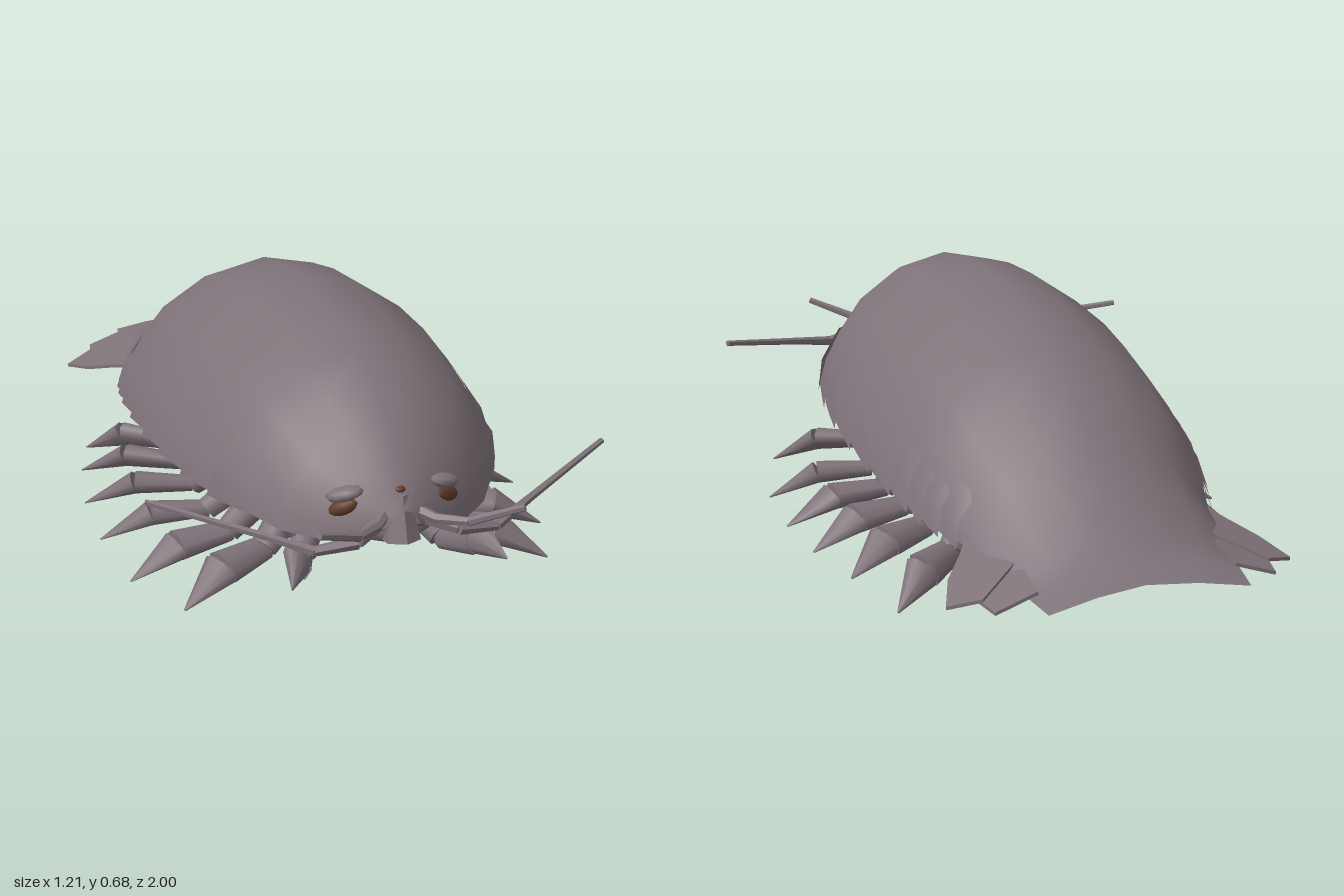
import * as THREE from 'three';

const mat = (name, color, flatShading = false) =>
  Object.assign(new THREE.MeshStandardMaterial({ color, flatShading, side: THREE.DoubleSide }), { name });
const V = (x, y, z) => new THREE.Vector3(x, y, z);

// Shell stations from head to tail: z, ridge height, half width, edge height, brown share of the underside
const STATIONS = [
  [0.86, 0.37, 0.04, 0.33, 0], [0.82, 0.425, 0.13, 0.3, 0], [0.77, 0.485, 0.2, 0.285, 0], [0.7, 0.545, 0.27, 0.285, 0],
  [0.6, 0.61, 0.33, 0.3, 0], [0.5, 0.652, 0.375, 0.305, 0.3], [0.35, 0.68, 0.405, 0.3, 0.4], [0.2, 0.69, 0.425, 0.295, 0.4],
  [0, 0.68, 0.43, 0.28, 0.4], [-0.15, 0.655, 0.425, 0.265, 0.45], [-0.32, 0.61, 0.41, 0.245, 0.75],
  [-0.45, 0.55, 0.385, 0.225, 0.78], [-0.6, 0.45, 0.335, 0.205, 0.78], [-0.72, 0.36, 0.325, 0.192, 0.78],
  [-0.84, 0.272, 0.295, 0.18, 0.7], [-0.9, 0.235, 0.28, 0.173, 0], [-0.965, 0.2, 0.265, 0.165, 0],
];
// Half cross-section from edge to ridge, as fractions of width and height
const PROFILE = [[1, 0], [0.95, 0.2], [0.84, 0.42], [0.67, 0.67], [0.35, 0.91], [0, 1]];

function station(z) {
  let i = 0;
  while (i < STATIONS.length - 2 && STATIONS[i + 1][0] > z) i++;
  const a = STATIONS[i], b = STATIONS[i + 1];
  const t = THREE.MathUtils.clamp((a[0] - z) / (a[0] - b[0]), 0, 1);
  return a.map((v, k) => v + (b[k] - v) * t);
}

// Surface through rows of points
function loft(rows) {
  const n = rows[0].length, index = [];
  for (let i = 0; i < rows.length - 1; i++) {
    for (let j = 0; j < n - 1; j++) {
      const a = i * n + j, b = a + n;
      index.push(a, b, a + 1, b, b + 1, a + 1);
    }
  }
  const g = new THREE.BufferGeometry().setFromPoints(rows.flat());
  g.setIndex(index);
  g.computeVertexNormals();
  return g;
}

export function createModel() {
  const model = new THREE.Group();
  model.name = 'isopod';
  const shellMat = mat('shell grey', 0x7f737a);
  const limbMat = mat('limb grey', 0x7f737a, true);
  const brown = mat('underside brown', 0x633b28);

  const add = (name, geo, material, parent = model) => {
    const m = new THREE.Mesh(geo, material);
    m.name = name;
    parent.add(m);
    return m;
  };
  const ellipsoid = (name, size, at, material) => {
    const m = add(name, new THREE.SphereGeometry(1, 10, 6), material);
    m.scale.set(...size);
    m.position.set(...at);
    return m;
  };
  // Tapered limb piece between two points
  const segment = (name, a, b, ra, rb, material, parent, sides = 6, flat = 1) => {
    const d = b.clone().sub(a);
    const g = new THREE.CylinderGeometry(rb, ra, d.length(), sides);
    g.scale(flat, 1, 1);
    const m = add(name, g, material, parent);
    m.position.copy(a).lerp(b, 0.5);
    m.quaternion.setFromUnitVectors(V(0, 1, 0), d.normalize());
  };

  // Domed back, flaring at the tail and ending in a shallow notch
  const notch = (z, f) => z - (z < -0.93 ? 0.035 * Math.abs(f) : 0);
  const arch = [...PROFILE, ...PROFILE.slice(0, -1).reverse().map(([x, y]) => [-x, y])];
  add('shell', loft(STATIONS.map(([z, top, w, e]) => {
    const flare = 1 + 0.6 * THREE.MathUtils.smoothstep(-z, 0.5, 0.75);
    return arch.map(([fx, fy]) => V(fx * w, e + fy ** flare * (top - e), notch(z, fx)));
  })), shellMat);

  // Underside: grey rim with a brown belly between
  const under = ([z, top, w, e], f) => {
    const hollow = z < -0.25 ? Math.min(0.75 * (top - e), 0.035) : 0.005;
    return V(f * w, e + hollow * (1 - f * f), notch(z, f));
  };
  const bellyStations = STATIONS.filter(p => p[0] < 0.65 && p[0] > -0.93);
  add('belly', loft(bellyStations.map(p => [-1, -0.5, 0, 0.5, 1].map(f => under(p, f * p[4])))), brown);
  for (const s of [-1, 1]) {
    add('undersideRim', loft(STATIONS.map(p => {
      const row = [under(p, s), under(p, s * (1 + p[4]) / 2), under(p, s * p[4])];
      return s > 0 ? row.reverse() : row;
    })), shellMat);
  }

  // Overlapping side plates with pointed rear corners
  const CUTS = [0.62, 0.49, 0.34, 0.18, 0.03, -0.12, -0.26, -0.36, -0.43, -0.5, -0.57];
  for (const s of [-1, 1]) {
    for (let i = 0; i < CUTS.length - 1; i++) {
      const rows = [0, 0.5, 1].map(t => {
        const z = CUTS[i] + (CUTS[i + 1] - 0.01 - CUTS[i]) * t;
        const [, top, w, e] = station(z);
        const row = PROFILE.slice(0, 3).map(([fx, fy], k) => {
          const out = k === 2 ? 0.001 : 0.003 + 0.009 * t;
          return V(s * (fx * w + out), e + fy * (top - e) - (k ? 0 : 0.012 * t), z - (k ? -0.012 * k * t : 0.012 * t));
        });
        return s > 0 ? row : row.reverse();
      });
      add('sidePlate', loft(rows), shellMat);
    }
  }

  // Head: mouthparts, snout, and eyes tucked under brows
  ellipsoid('mouthparts', [0.14, 0.055, 0.14], [0, 0.3, 0.7], shellMat);
  segment('snout', V(0, 0.4, 0.82), V(0, 0.285, 0.835), 0.025, 0.05, limbMat, model);
  ellipsoid('browSpot', [0.014, 0.009, 0.01], [0, 0.413, 0.824], brown);
  for (const s of [-1, 1]) {
    ellipsoid('eye', [0.042, 0.022, 0.02], [s * 0.135, 0.367, 0.787], brown).rotation.set(0, s * 0.6, -s * 0.45);
    ellipsoid('brow', [0.05, 0.018, 0.03], [s * 0.13, 0.402, 0.785], shellMat).rotation.set(0, s * 0.6, -s * 0.3);
  }

  // Antennae: a long outer and a short inner pair
  const ANTENNAE = {
    longAntenna: [[0.04, 0.34, 0.82], [0.13, 0.32, 0.89], [0.235, 0.305, 0.875], [0.35, 0.335, 0.81], [0.6, 0.395, 0.67]],
    shortAntenna: [[0.03, 0.36, 0.82], [0.08, 0.345, 0.875], [0.14, 0.355, 0.93], [0.26, 0.403, 0.99]],
  };
  for (const s of [-1, 1]) {
    for (const [name, path] of Object.entries(ANTENNAE)) {
      const group = new THREE.Group();
      group.name = name;
      model.add(group);
      const r = name === 'longAntenna' ? 0.021 : 0.018;
      for (let i = 0; i < path.length - 1; i++) {
        const k = 1 - i * 0.17;
        segment('antennaPiece', V(s * path[i][0], path[i][1], path[i][2]),
          V(s * path[i + 1][0], path[i + 1][1], path[i + 1][2]), r * k, r * k * 0.75, limbMat, group);
      }
    }
  }

  // Seven pairs of legs: hip z, knee x, knee y, then the tip
  const LEGS = [
    [0.54, 0.16, 0.2, 0.28, 0.19, 0.84], [0.42, 0.18, 0.18, 0.49, 0.05, 0.61], [0.28, 0.22, 0.155, 0.57, 0.025, 0.37],
    [0.165, 0.23, 0.15, 0.59, 0.03, 0.12], [0.03, 0.23, 0.15, 0.58, 0.035, -0.1], [-0.1, 0.23, 0.145, 0.54, 0.035, -0.31],
    [-0.25, 0.22, 0.135, 0.48, 0.01, -0.51],
  ];
  for (const s of [-1, 1]) {
    for (const [hz, kx, ky, tx, ty, tz] of LEGS) {
      const group = new THREE.Group();
      group.name = 'leg';
      model.add(group);
      const [, , w, e] = station(hz);
      const hip = V(s * 0.8 * w, e + 0.03, hz), tip = V(s * tx, ty, tz);
      const knee = V(s * kx, ky, hz + (tz - hz) * 0.1);
      const socket = hip.clone().lerp(knee, 0.34);
      const ankle = knee.clone().lerp(tip, 0.2).add(V(0, -0.03, 0));
      const toe = knee.clone().lerp(tip, 0.62).add(V(0, 0.02, 0));
      segment('hipJoint', hip, socket, 0.04, 0.037, brown, group);
      segment('thigh', socket, knee, 0.036, 0.045, shellMat, group, 8, 0.85);
      segment('shin', knee, ankle, 0.044, 0.036, shellMat, group, 8, 0.9);
      segment('foot', ankle, toe, 0.036, 0.052, shellMat, group, 8, 0.6);
      segment('claw', toe, tip, 0.052, 0.003, shellMat, group, 8, 0.6);
    }
  }

  // Tail fan: two plates on each side, sloping outward from the shell
  const FANS = {
    outerTailFan: [[0.27, -0.6], [0.33, -0.59], [0.36, -0.64], [0.42, -0.72], [0.46, -0.82], [0.38, -0.86], [0.27, -0.78]],
    innerTailFan: [[0.27, -0.62], [0.34, -0.68], [0.385, -0.84], [0.37, -0.92], [0.26, -0.92], [0.25, -0.7]],
  };
  for (const s of [-1, 1]) {
    Object.entries(FANS).forEach(([name, outline], k) => {
      const shape = new THREE.Shape(outline.map(([x, z]) => new THREE.Vector2(s * x, z)));
      const g = new THREE.ExtrudeGeometry(shape, { depth: 0.009, bevelEnabled: false });
      g.rotateX(Math.PI / 2);
      const p = g.attributes.position;
      for (let i = 0; i < p.count; i++) {
        const x = Math.abs(p.getX(i)), z = p.getZ(i);
        p.setY(i, p.getY(i) + 0.235 - 0.008 * k + (z + 0.6) * 0.12 - (x - 0.28) * 0.35);
      }
      g.computeVertexNormals();
      add(name, g, shellMat);
    });
  }
  return model;
}
